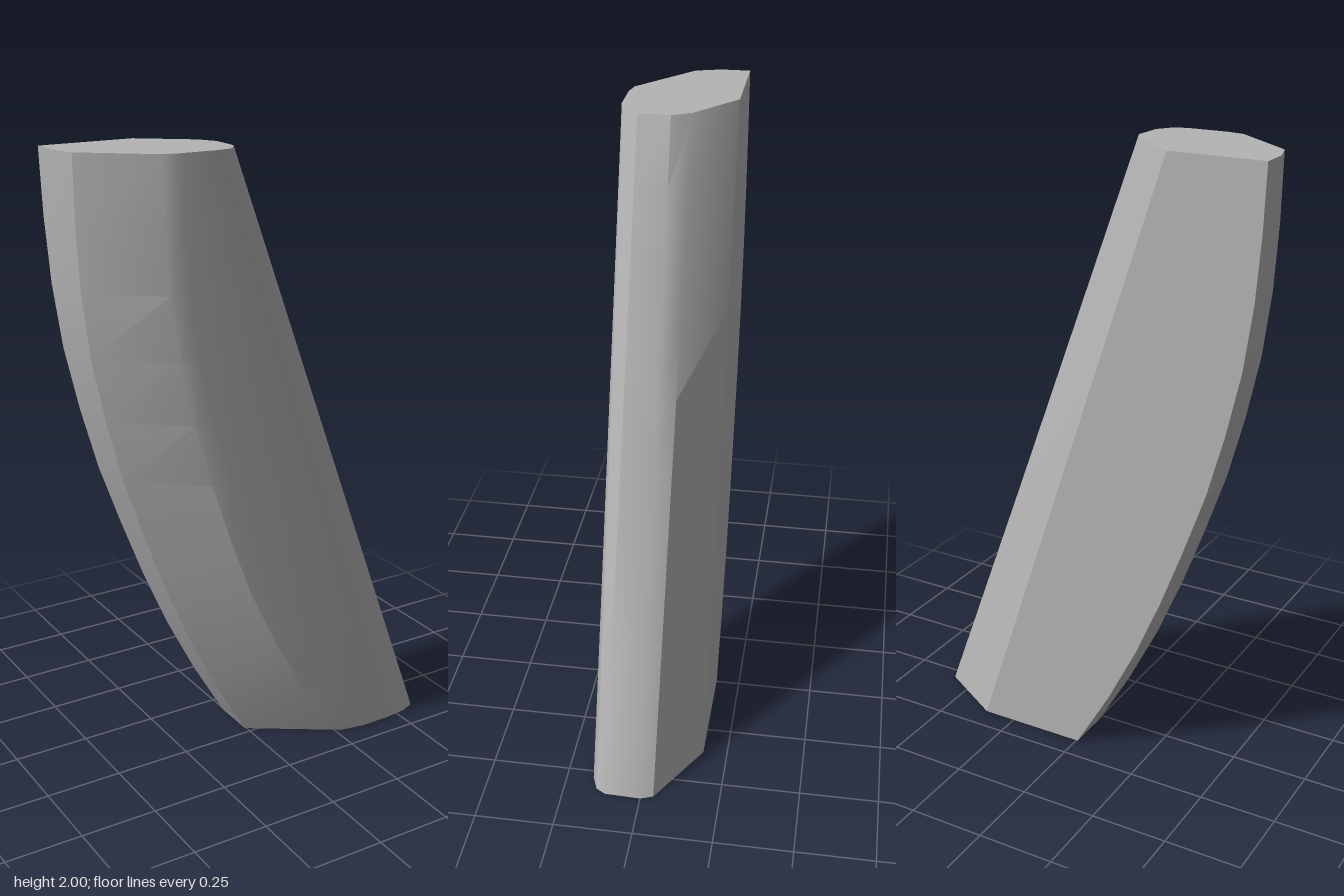
import * as THREE from 'three';
import { toCreasedNormals } from 'three/addons/utils/BufferGeometryUtils.js';

// Piecewise sample of values spaced 0.2 apart in height
const sample = (list, i) => list[i];
const mix = THREE.MathUtils.lerp;

// Left silhouette and front-left ridge, from y = 0 to y = 2 in steps of 0.2
const leftEdge = [-0.005, -0.12, -0.22, -0.305, -0.38, -0.45, -0.505, -0.55, -0.578, -0.593, -0.6];
const ridge = [0.27, 0.115, 0.005, -0.09, -0.165, -0.23, -0.287, -0.332, -0.362, -0.374, -0.38];

// Straight side, corner by corner: [bottom x, bottom z, top x, top z]
const straight = [
  [0.36, -0.172, -0.3, -0.172], [0.585, -0.04, -0.15, -0.05], [0.6, 0.0, -0.118, 0.01],
  [0.596, 0.115, -0.122, 0.11], [0.578, 0.145, -0.156, 0.16], [0.53, 0.164, -0.17, 0.165],
  [0.45, 0.172, -0.21, 0.172],
];

// One horizontal cross-section
function ring(i) {
  const t = i / 10, y = 2 * t;
  const l = sample(leftEdge, i), c = sample(ridge, i);
  const pts = [[l, -0.172]];
  for (const [bx, bz, tx, tz] of straight) pts.push([mix(bx, tx, t), mix(bz, tz, t)]);
  pts.push([c + mix(0.08, 0.05, t), 0.172], [c, mix(0.157, 0.162, t)]);
  pts.push([l + 0.025 * t * t, mix(-0.025, 0, t)], [l, mix(-0.09, -0.08, t)]);
  return pts.map(([x, z]) => [x, y, z]);
}

export function createModel() {
  const group = new THREE.Group();
  const grey = new THREE.MeshStandardMaterial({ color: 0xb4b4b4 });
  grey.name = 'grey';

  const rings = leftEdge.map((_, i) => ring(i));
  const n = rings[0].length;
  const pos = [];
  const tri = (a, b, c) => pos.push(...a, ...b, ...c);

  // Side walls
  for (let i = 0; i < 10; i++) {
    for (let j = 0; j < n; j++) {
      const k = (j + 1) % n, lo = rings[i], hi = rings[i + 1];
      tri(lo[j], hi[j], lo[k]);
      tri(lo[k], hi[j], hi[k]);
    }
  }
  // Flat ends
  for (let j = 1; j < n - 1; j++) {
    tri(rings[0][0], rings[0][j], rings[0][j + 1]);
    tri(rings[10][0], rings[10][j + 1], rings[10][j]);
  }

  const geo = new THREE.BufferGeometry();
  geo.setAttribute('position', new THREE.Float32BufferAttribute(pos, 3));
  const mesh = new THREE.Mesh(toCreasedNormals(geo, 0.5), grey);
  mesh.name = 'curvedLeaningBar';
  group.add(mesh);
  return group;
}
